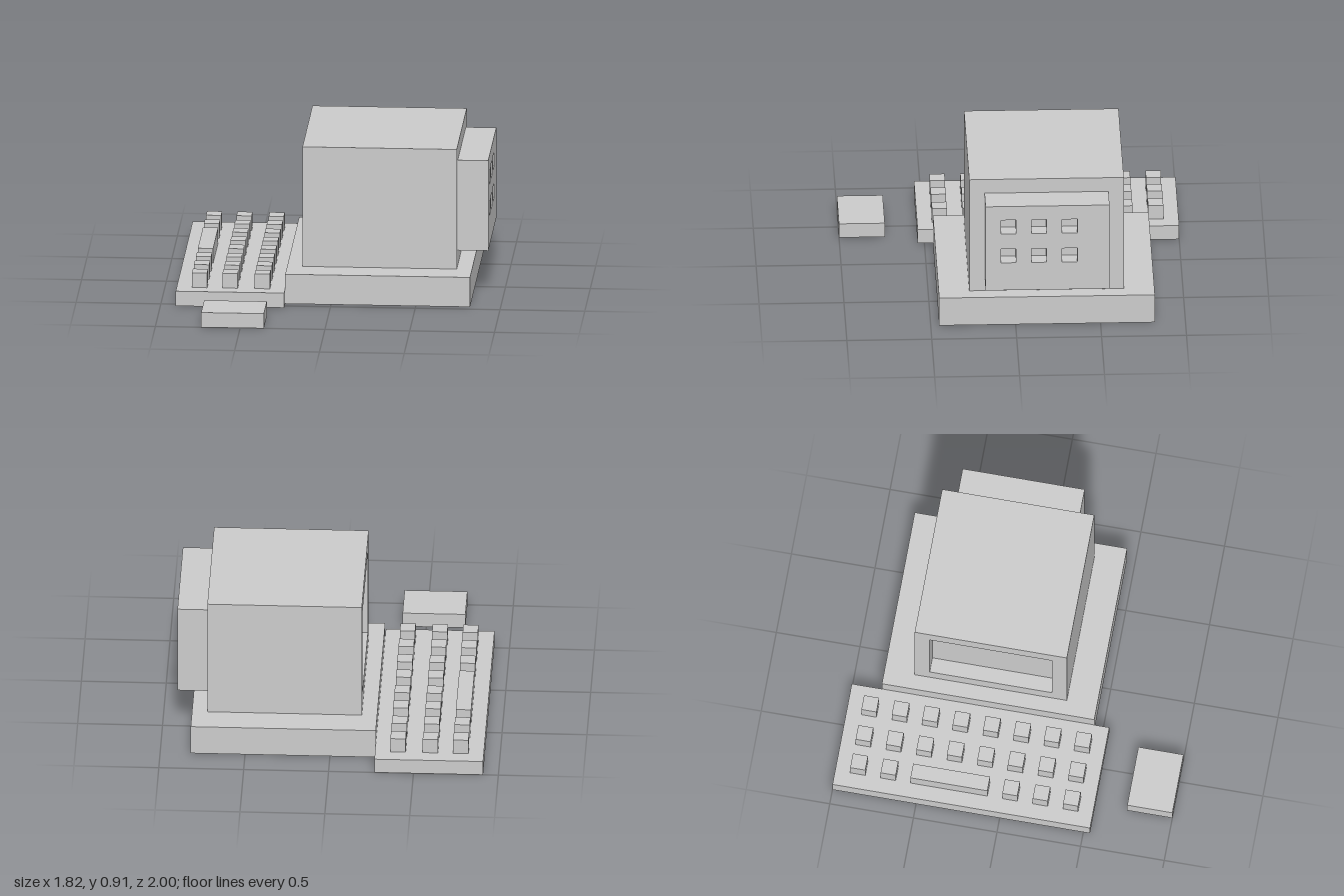
import * as THREE from 'three';

const material = new THREE.MeshStandardMaterial({ color: 0xcccccc, flatShading: true });

function add(parent, name, geometry) {
  const mesh = new THREE.Mesh(geometry, material);
  mesh.name = name;
  parent.add(mesh);
  return mesh;
}

// Box given by its lower and upper limits on each axis
function block(parent, name, [x0, x1], [y0, y1], [z0, z1]) {
  const mesh = add(parent, name, new THREE.BoxGeometry(x1 - x0, y1 - y0, z1 - z0));
  mesh.position.set((x0 + x1) / 2, (y0 + y1) / 2, (z0 + z1) / 2);
}

function rectangle(path, [y0, y1], [z0, z1]) {
  path.moveTo(-z1, y0);
  path.lineTo(-z0, y0);
  path.lineTo(-z0, y1);
  path.lineTo(-z1, y1);
  path.closePath();
  return path;
}

// Upright panel facing along x, pierced by rectangular holes
function piercedPanel(parent, name, [x0, x1], y, z, holes) {
  const shape = rectangle(new THREE.Shape(), y, z);
  for (const [hy, hz] of holes) shape.holes.push(rectangle(new THREE.Path(), hy, hz));
  const geometry = new THREE.ExtrudeGeometry(shape, { depth: x1 - x0, bevelEnabled: false });
  const mesh = add(parent, name, geometry.rotateY(Math.PI / 2));
  mesh.position.x = x0;
}

export function createModel() {
  const model = new THREE.Group();
  model.name = 'desktopComputer';

  // Computer base
  block(model, 'base', [-0.27, 0.82], [0, 0.18], [-0.82, 0.45]);

  // Monitor with a recessed screen
  const monitor = new THREE.Group();
  monitor.name = 'monitor';
  model.add(monitor);
  block(monitor, 'monitorBody', [-0.09, 0.73], [0.18, 0.91], [-0.64, 0.27]);
  piercedPanel(monitor, 'screenFrame', [-0.18, -0.09], [0.18, 0.91], [-0.64, 0.27],
    [[[0.27, 0.82], [-0.55, 0.18]]]);

  // Rear housing with vent holes
  const vents = [];
  for (const y of [0.45, 0.64]) {
    for (const z of [-0.36, -0.18, 0]) vents.push([[y, y + 0.09], [z, z + 0.09]]);
  }
  block(monitor, 'rearHousing', [0.73, 0.82], [0.27, 0.82], [-0.55, 0.18]);
  piercedPanel(monitor, 'ventPanel', [0.82, 0.91], [0.27, 0.82], [-0.55, 0.18], vents);

  // Keyboard with three rows of keys, the near row broken by the space bar
  const keyboard = new THREE.Group();
  keyboard.name = 'keyboard';
  model.add(keyboard);
  block(keyboard, 'keyboardBase', [-0.91, -0.27], [0, 0.09], [-1, 0.54]);
  [-0.82, -0.64, -0.45].forEach((x, row) => {
    for (let i = 0; i < 8; i++) {
      if (row === 0 && i >= 2 && i <= 4) continue;
      const z = -0.91 + i * 2 / 11;
      block(keyboard, 'key', [x, x + 0.09], [0.09, 0.18], [z, z + 0.09]);
    }
  });
  block(keyboard, 'spaceBar', [-0.82, -0.73], [0.09, 0.18], [-0.55, -0.09]);

  // Mouse
  block(model, 'mouse', [-0.73, -0.36], [0, 0.09], [0.73, 1]);

  return model;
}
